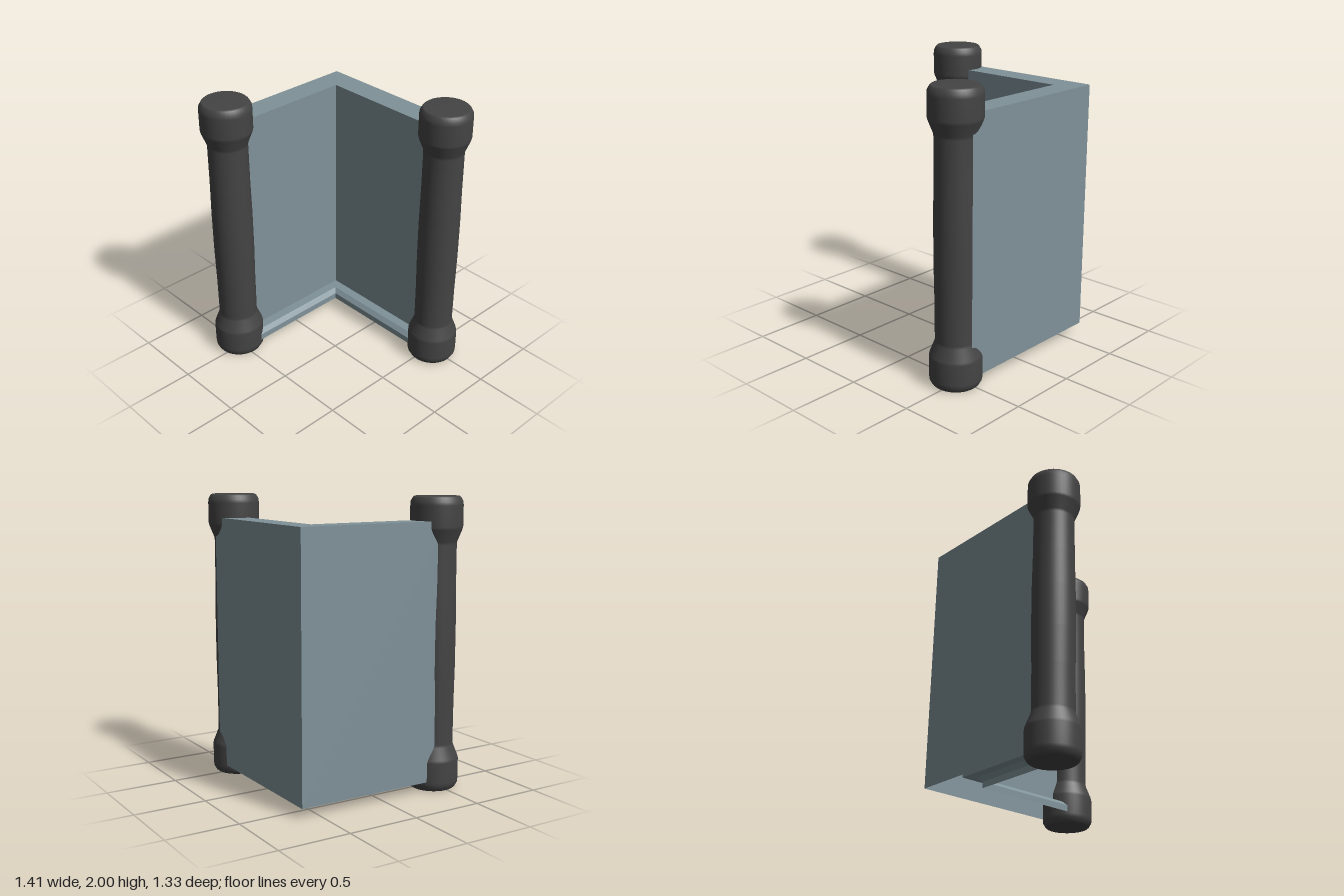
import * as THREE from 'three';

const wallMaterial = new THREE.MeshStandardMaterial({ color: 0x7f9299, side: THREE.DoubleSide });
const postMaterial = new THREE.MeshStandardMaterial({ color: 0x444444 });

const POST_X = 0.53, POST_Z = 0.487;
const OUTER_X = -0.645, OUTER_Z = -0.63;

// Sweeps an open profile of [inward offset, height] round the mitred corner
function sweepCorner(profile) {
  const stations = [
    (d, y) => [POST_X, y, OUTER_Z + d],
    (d, y) => [OUTER_X + d, y, OUTER_Z + d],
    (d, y) => [OUTER_X + d, y, POST_Z],
  ];
  const positions = [];
  for (let s = 0; s < stations.length - 1; s++) {
    for (let i = 0; i < profile.length - 1; i++) {
      const a = stations[s](...profile[i]);
      const b = stations[s + 1](...profile[i]);
      const c = stations[s + 1](...profile[i + 1]);
      const d = stations[s](...profile[i + 1]);
      positions.push(...a, ...b, ...c, ...a, ...c, ...d);
    }
  }
  const geometry = new THREE.BufferGeometry();
  geometry.setAttribute('position', new THREE.Float32BufferAttribute(positions, 3));
  geometry.computeVertexNormals();
  return geometry;
}

// Turned post with a thick collar at each end
function createPost(name, x, z) {
  const half = [
    [0, 0], [0.15, 0], [0.16, 0.008], [0.175, 0.035], [0.177, 0.06],
    [0.177, 0.2], [0.172, 0.22], [0.14, 0.3], [0.137, 0.32], [0.138, 0.6], [0.142, 0.85],
  ];
  const points = [...half, ...half.map(([r, y]) => [r, 2 - y]).reverse()];
  const post = new THREE.Mesh(
    new THREE.LatheGeometry(points.map(([r, y]) => new THREE.Vector2(r, y)), 40),
    postMaterial
  );
  post.name = name;
  post.position.set(x, 0, z);
  return post;
}

export function createModel() {
  const group = new THREE.Group();
  group.name = 'cornerWall';

  // Hollow wall, open underneath
  const wall = new THREE.Mesh(
    sweepCorner([[0, 0.07], [0, 1.84], [0.175, 1.84], [0.175, 0.145]]), wallMaterial);
  wall.name = 'wall';

  // Bevelled skirting with a hanging lip
  const skirting = new THREE.Mesh(
    sweepCorner([[0.175, 0.145], [0.243, 0.145], [0.272, 0.115], [0.272, 0.07]]), wallMaterial);
  skirting.name = 'skirting';

  group.add(wall, skirting);
  group.add(createPost('backPost', POST_X, -POST_Z), createPost('frontPost', -POST_X, POST_Z));
  return group;
}
